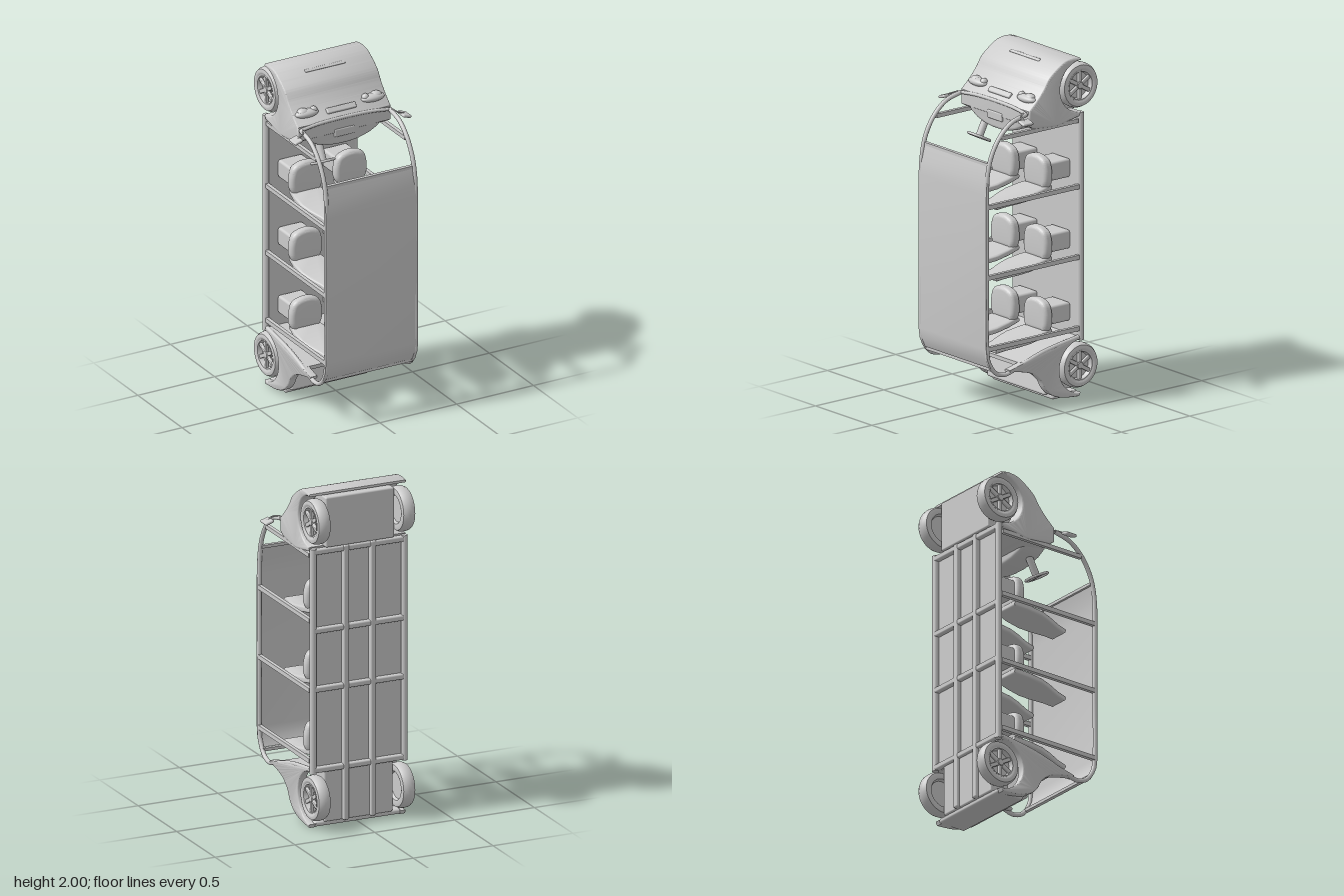
import * as THREE from 'three';
import { toCreasedNormals } from 'three/addons/utils/BufferGeometryUtils.js';
import { RoundedBoxGeometry } from 'three/addons/geometries/RoundedBoxGeometry.js';

const mat = new THREE.MeshStandardMaterial({ color: 0xcccccc, side: THREE.DoubleSide });
const V = (x, y, z) => new THREE.Vector3(x, y, z);
const vecs = pts => pts.map(p => new THREE.Vector2(...p));
// Closed outline from its right half, mirrored in x
const mirrored = half => new THREE.Shape(vecs([...half, ...half.map(([a, b]) => [-a, b]).reverse()]));

function add(parent, name, geo, x = 0, y = 0, z = 0) {
  const m = new THREE.Mesh(geo, mat);
  m.name = name;
  m.position.set(x, y, z);
  parent.add(m);
  return m;
}
const box = (g, name, w, h, d, x, y, z) => add(g, name, new THREE.BoxGeometry(w, h, d), x, y, z);
const rounded = (g, name, w, h, d, r, x, y, z) => add(g, name, new RoundedBoxGeometry(w, h, d, 4, r), x, y, z);

function tube(g, name, pts, r, seg = 60) {
  const path = new THREE.CatmullRomCurve3(pts.map(p => V(...p)), false, 'centripetal');
  return add(g, name, new THREE.TubeGeometry(path, seg, r, 12));
}

// Outline in (x, y), extruded symmetrically along z with rounded edges
function slab(shape, depth, bevel) {
  const geo = new THREE.ExtrudeGeometry(shape, {
    depth: depth - 2 * bevel, curveSegments: 20, bevelEnabled: bevel > 0,
    bevelSize: bevel, bevelThickness: bevel, bevelOffset: -bevel, bevelSegments: 4,
  });
  geo.translate(0, 0, -(depth / 2 - bevel));
  return toCreasedNormals(geo, 0.7);
}
// Side profile in (z, y), extruded along x
const extrudeX = (shape, width, bevel) => slab(shape, width, bevel).rotateY(-Math.PI / 2);
// Outline in (x, z), extruded along y
const extrudeY = (shape, thick, bevel) => slab(shape, thick, bevel).rotateX(Math.PI / 2);

function wheel(g, name, side, y) {
  const w = new THREE.Group();
  w.name = name;
  w.position.set(side * 0.265, y, -0.281);
  w.scale.x = side;
  g.add(w);
  const lathe = pts => toCreasedNormals(new THREE.LatheGeometry(vecs(pts), 40).rotateZ(-Math.PI / 2), 0.6);
  add(w, 'tire', lathe([[0.085, -0.036], [0.103, -0.04], [0.121, -0.036], [0.13, -0.02], [0.132, 0],
    [0.13, 0.02], [0.121, 0.036], [0.103, 0.04], [0.088, 0.034], [0.085, 0.03]]));
  add(w, 'rim', lathe([[0, -0.02], [0.076, -0.02], [0.085, -0.036], [0.09, -0.036],
    [0.09, 0.036], [0.082, 0.036], [0.076, 0.008], [0, 0.008]]));
  add(w, 'hub', lathe([[0, 0.034], [0.018, 0.033], [0.024, 0.026], [0.026, 0]]));
  for (let i = 0; i < 6; i++) {
    const a = i * Math.PI / 3;
    const s = rounded(w, 'spoke', 0.016, 0.064, 0.024, 0.005, 0.022, 0.05 * Math.cos(a), 0.05 * Math.sin(a));
    s.rotation.x = a;
  }
}

function seat(g, x, y) {
  const s = new THREE.Group();
  s.name = 'seat';
  s.position.set(x, y, 0);
  g.add(s);
  // Rounded cushion, wider near the backrest
  const pad = new THREE.Shape();
  pad.moveTo(-0.085, 0.01);
  pad.lineTo(0.085, 0.01);
  pad.splineThru(vecs([[0.102, 0.05], [0.1, 0.12], [0.075, 0.175], [0, 0.196], [-0.075, 0.175], [-0.1, 0.12],
    [-0.102, 0.05], [-0.085, 0.01]]));
  add(s, 'cushion', slab(pad, 0.062, 0.024), 0, 0, -0.095);
  rounded(s, 'seatBase', 0.16, 0.11, 0.15, 0.015, 0, 0.095, -0.195);
  // Tapered backrest leaning rearward
  const half = [[0.085, -0.13], [0.105, -0.04], [0.11, 0.05], [0.095, 0.12], [0.068, 0.2], [0.058, 0.262]];
  add(s, 'backrest', extrudeY(mirrored(half), 0.036, 0.015), 0, -0.01, 0).rotation.x = 0.15;
}

export function createModel() {
  const g = new THREE.Group();
  g.name = 'openShuttleCart';

  // Front body with wheel arches
  const front = new THREE.Shape();
  front.moveTo(-0.285, 1.675);
  front.absarc(-0.281, 1.828, 0.15, -Math.PI / 2, Math.PI / 2, false);
  front.lineTo(-0.28, 1.992);
  front.splineThru(vecs([[-0.22, 2.0], [-0.15, 1.985], [-0.055, 1.92], [-0.01, 1.858], [0.035, 1.805], [0.1, 1.745]]));
  front.lineTo(0.1, 1.66);
  front.lineTo(0.06, 1.635);
  front.lineTo(-0.1, 1.62);
  front.lineTo(-0.27, 1.65);
  add(g, 'frontBody', extrudeX(front, 0.61, 0.012));
  rounded(g, 'frontUnderbody', 0.43, 0.3, 0.17, 0.01, 0, 1.82, -0.225);

  // Rear fenders with wheel arches
  const rear = new THREE.Shape();
  rear.moveTo(-0.285, 0.03);
  rear.absarc(-0.281, 0.18, 0.155, -Math.PI / 2, Math.PI / 2, false);
  rear.lineTo(-0.27, 0.355);
  rear.lineTo(-0.03, 0.315);
  rear.lineTo(0.24, 0.25);
  rear.lineTo(0.24, 0.235);
  rear.splineThru(vecs([[0.19, 0.23], [0.08, 0.2], [0.015, 0.15], [-0.02, 0.09], [-0.07, 0.045], [-0.15, 0.015], [-0.27, 0.002]]));
  for (const s of [-1, 1]) add(g, 'rearFender', extrudeX(rear, 0.05, 0.01), s * 0.279);

  // Tail panel, bumper, deck and underbody between the fenders
  rounded(g, 'tailPanel', 0.52, 0.21, 0.03, 0.014, 0, 0.138, -0.085).rotation.x = -0.2;
  rounded(g, 'rearBumper', 0.54, 0.03, 0.18, 0.012, 0, 0.02, -0.19);
  const deck = new THREE.Shape(vecs([[-0.27, 0.335], [-0.03, 0.295], [0.15, 0.25], [0.15, 0.272], [-0.03, 0.315], [-0.27, 0.355]]));
  add(g, 'rearDeck', extrudeX(deck, 0.56, 0));
  rounded(g, 'rearUnderbody', 0.43, 0.31, 0.13, 0.01, 0, 0.185, -0.225);

  // Curved dashboard bowl
  const bowl = [[0.28, 1.745], [0.26, 1.68], [0.225, 1.635], [0.17, 1.605], [0.1, 1.585], [0.04, 1.578]];
  add(g, 'dashboard', slab(mirrored(bowl), 0.15, 0.018), 0, 0, 0.02);
  rounded(g, 'dashVent', 0.13, 0.05, 0.02, 0.008, 0, 1.655, 0.095);
  tube(g, 'windscreenSill', [[-0.29, 1.73, 0.11], [-0.15, 1.74, 0.098], [0.15, 1.74, 0.098], [0.29, 1.73, 0.11]], 0.01, 30);

  // Grille slot, nose strip and lamps
  rounded(g, 'grilleSlot', 0.26, 0.012, 0.02, 0.005, 0, 1.968, -0.122).rotation.x = 0.6;
  rounded(g, 'noseStrip', 0.19, 0.02, 0.035, 0.008, 0, 1.785, 0.062).rotation.x = 0.8;
  for (const s of [-1, 1]) {
    const lamps = [['lampPod', 0.075, 0.036, 0.215, 1.795, 0.045], ['headlight', 0.036, 0.03, 0.238, 1.803, 0.04],
      ['smallLamp', 0.022, 0.022, 0.168, 1.803, 0.042]];
    for (const [name, rx, rz, x, y, z] of lamps) {
      add(g, name, new THREE.SphereGeometry(1, 24, 16), s * x, y, z).scale.set(rx, 0.024, rz);
    }
  }

  // Roof sheet
  const roofLine = [[0.375, 1.48], [0.398, 1.38], [0.403, 1.3], [0.403, 0.4], [0.395, 0.34], [0.37, 0.285]];
  const sheet = new THREE.Shape(vecs([...roofLine, ...roofLine.map(([z, y]) => [z + 0.008, y]).reverse()]));
  add(g, 'roof', extrudeX(sheet, 0.6, 0));

  // Side frames, posts and mirrors
  for (const s of [-1, 1]) {
    const x = s * 0.29;
    tube(g, 'sideFrame', [[x, 1.73, 0.11], [x, 1.7, 0.22], [x, 1.63, 0.305], [x, 1.53, 0.365], [x, 1.42, 0.393],
      [x, 1.3, 0.398], [x, 0.85, 0.398], [x, 0.4, 0.398], [x, 0.32, 0.385], [x, 0.25, 0.335], [x, 0.228, 0.27],
      [x, 0.245, 0.2], [x, 0.31, -0.02], [x, 0.35, -0.27]], 0.013, 100);
    for (const y of [0.4, 0.82, 1.235]) box(g, 'post', 0.022, 0.026, 0.67, x, y, 0.063);
    box(g, 'frontPost', 0.022, 0.024, 0.56, x, 1.625, 0.015);
    tube(g, 'mirrorArm', [[s * 0.29, 1.74, 0.13], [s * 0.31, 1.73, 0.165], [s * 0.355, 1.71, 0.165]], 0.004, 16);
    rounded(g, 'mirror', 0.055, 0.018, 0.075, 0.008, s * 0.353, 1.705, 0.165).rotation.z = -s * 0.3;
    // Chassis rails
    add(g, 'outerRail', new THREE.CylinderGeometry(0.02, 0.02, 1.34, 14), s * 0.286, 1.0, -0.29);
    rounded(g, 'innerRail', 0.036, 1.64, 0.036, 0.01, s * 0.085, 0.85, -0.293);
    wheel(g, 'frontWheel', s, 1.828);
    wheel(g, 'rearWheel', s, 0.18);
  }
  for (const y of [0.35, 0.83, 1.18, 1.65]) rounded(g, 'crossMember', 0.57, 0.034, 0.034, 0.01, 0, y, -0.29);
  for (const [y, z] of [[1.48, 0.375], [0.275, 0.36]]) box(g, 'roofCrossbar', 0.58, 0.018, 0.022, 0, y, z);
  box(g, 'floor', 0.56, 1.3, 0.008, 0, 1.0, -0.272);

  // Three rows of paired seats
  for (const y of [0.39, 0.815, 1.235]) for (const x of [-0.145, 0.145]) seat(g, x, y);

  // Steering wheel and column
  const centre = V(-0.14, 1.5, 0.1), axis = V(0, 0.89, -0.46);
  const ring = add(g, 'steeringWheel', new THREE.TorusGeometry(0.065, 0.008, 10, 32), ...centre);
  ring.lookAt(centre.clone().add(axis));
  box(g, 'steeringSpoke', 0.125, 0.02, 0.01, ...centre).quaternion.copy(ring.quaternion);
  const end = centre.clone().addScaledVector(axis, 0.14);
  tube(g, 'steeringColumn', [centre.toArray(), end.toArray()], 0.022, 4);
  return g;
}
